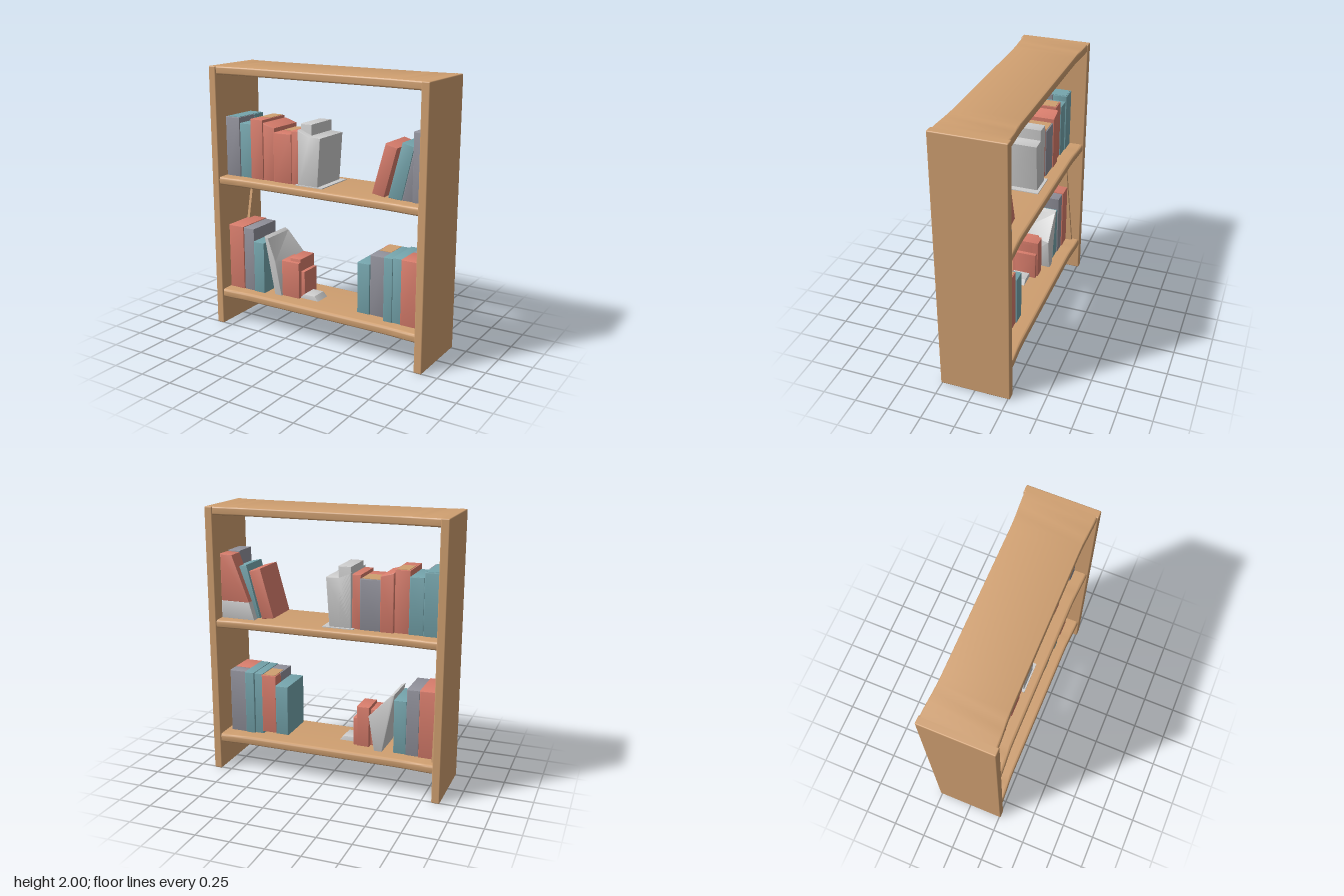
import * as THREE from 'three';
import { toCreasedNormals } from 'three/addons/utils/BufferGeometryUtils.js';
import { RoundedBoxGeometry } from 'three/addons/geometries/RoundedBoxGeometry.js';

function material(name, color) {
  const m = new THREE.MeshStandardMaterial({ color });
  m.name = name;
  return m;
}

const wood = material('wood', 0xcf9f70);
const red = material('coral red', 0xd87d6c);
const teal = material('teal', 0x75a5ad);
const grey = material('slate grey', 0x92929c);
const white = material('off white', 0xcdcdcd);

export function createModel() {
  const model = new THREE.Group();
  model.name = 'bookcase';

  function add(parent, name, geometry, mat) {
    const mesh = new THREE.Mesh(geometry, mat);
    mesh.name = name;
    parent.add(mesh);
    return mesh;
  }

  // Solid with an x-y outline, running from z0 to z1, with soft edges
  function prism(points, z0, z1, bevel = 0.007) {
    const shape = new THREE.Shape(points.map(([x, y]) => new THREE.Vector2(x, y)));
    const geometry = new THREE.ExtrudeGeometry(shape, {
      depth: z1 - z0 - 2 * bevel, bevelEnabled: bevel > 0, bevelSize: bevel,
      bevelThickness: bevel, bevelOffset: -bevel, bevelSegments: 2,
    });
    geometry.translate(0, 0, z0 + bevel);
    return toCreasedNormals(geometry, 0.6);
  }

  // Book with upright or leaning spine: bottom x range, top x range, heights
  function outline(x0, x1, y0, y1, lean = 0, drop = 0) {
    return [[x0, y0], [x1, y0], [x1 + lean, y1 - drop], [x0 + lean, y1]];
  }

  // Side panels
  for (const s of [-1, 1]) {
    const panel = add(model, s > 0 ? 'leftPanel' : 'rightPanel',
      new RoundedBoxGeometry(0.06, 2, 0.525, 2, 0.008), wood);
    panel.position.set(s * 0.855, 1, -0.0025);
  }

  // Shelf boards: rounded edges, flaring in depth towards the panels
  function shelf(name, y0, y1, r) {
    const h = y1 - y0, d = 0.24;
    const s = new THREE.Shape();
    s.moveTo(-d + r, 0);
    s.lineTo(d - r, 0);
    s.quadraticCurveTo(d, 0, d, r);
    s.lineTo(d, h - r);
    s.quadraticCurveTo(d, h, d - r, h);
    s.lineTo(-d + r, h);
    s.quadraticCurveTo(-d, h, -d, h - r);
    s.lineTo(-d, r);
    s.quadraticCurveTo(-d, 0, -d + r, 0);
    const geometry = new THREE.ExtrudeGeometry(s, {
      depth: 1.68, steps: 28, bevelEnabled: false, curveSegments: 5,
    });
    geometry.translate(0, 0, -0.84);
    geometry.rotateY(Math.PI / 2);
    const p = geometry.attributes.position;
    for (let i = 0; i < p.count; i++) {
      const flare = THREE.MathUtils.smoothstep(Math.abs(p.getX(i)), 0.55, 0.85);
      p.setZ(i, p.getZ(i) * (1 + 0.06 * flare) - 0.004);
    }
    add(model, name, toCreasedNormals(geometry, 0.7), wood).position.y = y0;
  }
  shelf('topBoard', 1.94, 2, 0.012);
  shelf('middleShelf', 1.115, 1.175, 0.02);
  shelf('bottomShelf', 0.215, 0.28, 0.02);

  // Rows of upright books: x0, x1, base, top, slope of top, front colour, back colour, top colour
  const rows = {
    upperLeftBooks: [
      [-0.825, -0.7, 1.17, 1.62, 0, grey, teal, teal],
      [-0.7, -0.595, 1.17, 1.58, 0, teal, teal],
      [-0.6, -0.49, 1.17, 1.62, 0, red, red, wood],
      [-0.49, -0.39, 1.17, 1.6, 0.03, red, red],
      [-0.395, -0.24, 1.17, 1.54, 0, red, grey, wood],
      [-0.245, -0.18, 1.17, 1.565, 0, red, red],
    ],
    lowerLeftBooks: [
      [-0.825, -0.69, 0.275, 0.78, 0, red, red],
      [-0.69, -0.595, 0.275, 0.775, 0, grey, grey],
      [-0.595, -0.5, 0.275, 0.68, 0, teal, teal],
    ],
    lowerRightBooks: [
      [0.315, 0.415, 0.3, 0.68, 0, teal, teal],
      [0.415, 0.53, 0.3, 0.75, 0, grey, red, wood],
      [0.525, 0.595, 0.275, 0.755, 0, teal, teal],
      [0.59, 0.665, 0.275, 0.76, 0, teal, teal],
      [0.66, 0.79, 0.275, 0.76, 0, red, grey],
    ],
  };
  for (const [rowName, books] of Object.entries(rows)) {
    const row = new THREE.Group();
    row.name = rowName;
    model.add(row);
    books.forEach(([x0, x1, y0, y1, drop, front, back, top], i) => {
      const zf = 0.155 - 0.006 * (i % 2), zb = -0.15 + 0.008 * (i % 3);
      const shape = outline(x0, x1, y0, y1, 0, drop);
      if (front === back) {
        add(row, `book${i + 1}`, prism(shape, zb, zf), front);
      } else {
        add(row, `book${i + 1}Front`, prism(shape, -0.04, zf), front);
        add(row, `book${i + 1}Back`, prism(shape, zb, -0.04), back);
      }
      // Differently coloured top edge
      if (top) {
        const depth = top === teal ? 0.28 : 0.16;
        const plate = add(row, `book${i + 1}TopEdge`,
          new THREE.BoxGeometry(x1 - x0 - 0.02, 0.006, depth), top);
        plate.position.set((x0 + x1) / 2, y1, zb + 0.01 + depth / 2);
      }
    });
  }

  // Pale stepped books at the end of the upper row
  const pale = new THREE.Group();
  pale.name = 'paleBooks';
  model.add(pale);
  add(pale, 'tallBook', prism(outline(-0.18, -0.085, 1.17, 1.62), -0.15, 0.12), white);
  add(pale, 'shortBook',
    prism([[-0.18, 1.17], [-0.015, 1.17], [0.01, 1.535], [-0.08, 1.54], [-0.18, 1.58]], -0.15, 0.16), white);
  add(pale, 'baseSheet', new THREE.BoxGeometry(0.23, 0.008, 0.34), white).position.set(-0.085, 1.177, 0);

  // Leaning books on the upper right
  const leaning = new THREE.Group();
  leaning.name = 'leaningBooks';
  model.add(leaning);
  add(leaning, 'redLeaningBook',
    prism([[0.42, 1.195], [0.515, 1.18], [0.61, 1.53], [0.52, 1.555]], -0.14, 0.15), red);
  add(leaning, 'tealLeaningBook',
    prism([[0.54, 1.18], [0.645, 1.17], [0.73, 1.55], [0.64, 1.57]], -0.12, 0.14), teal);
  add(leaning, 'greyLeaningBook',
    prism([[0.645, 1.17], [0.76, 1.17], [0.76, 1.6], [0.735, 1.57]], -0.04, 0.14), grey);
  add(leaning, 'greyUprightBook', prism(outline(0.73, 0.825, 1.17, 1.655), -0.04, 0.155), grey);
  add(leaning, 'redBackBook',
    prism([[0.6, 1.3], [0.825, 1.3], [0.825, 1.65], [0.73, 1.645]], -0.17, -0.04), red);
  add(leaning, 'paleBackBook',
    prism([[0.56, 1.17], [0.825, 1.17], [0.825, 1.305], [0.6, 1.305]], -0.172, -0.04), white);

  // Pale slab leaning left, its upper cover spreading towards the back
  const slab = prism([[-0.42, 0.275], [-0.36, 0.275], [-0.415, 0.54], [-0.48, 0.715], [-0.51, 0.73]],
    -0.15, 0.13, 0.005);
  const p = slab.attributes.position;
  for (let i = 0; i < p.count; i++) {
    if (p.getY(i) > 0.5 && p.getY(i) < 0.6) {
      p.setX(i, p.getX(i) + 0.1 * (0.13 - p.getZ(i)) / 0.28);
    }
  }
  add(model, 'leaningPaleBook', toCreasedNormals(slab, 0.6), white);

  // Small red stack and a loose scrap beside it
  const stack = new THREE.Group();
  stack.name = 'smallRedBooks';
  model.add(stack);
  add(stack, 'frontBook', prism(outline(-0.365, -0.21, 0.275, 0.56), -0.06, 0.115), red);
  add(stack, 'raisedBook', prism(outline(-0.305, -0.21, 0.275, 0.585), -0.1, 0.09), red);
  add(stack, 'thinBook', prism(outline(-0.22, -0.18, 0.275, 0.49), -0.09, 0.08), red);
  add(model, 'looseSheet',
    prism([[-0.22, 0.278], [-0.055, 0.278], [-0.09, 0.315], [-0.18, 0.315]], -0.04, 0.09, 0.003), white);

  // Thin wooden wedge against the side wall
  const wedge = prism([[-0.2, 0.28], [0.03, 0.28], [-0.13, 1.02]], -0.012, 0.012, 0);
  wedge.rotateY(-Math.PI / 2);
  add(model, 'wallWedge', wedge, wood).position.x = -0.815;

  return model;
}
